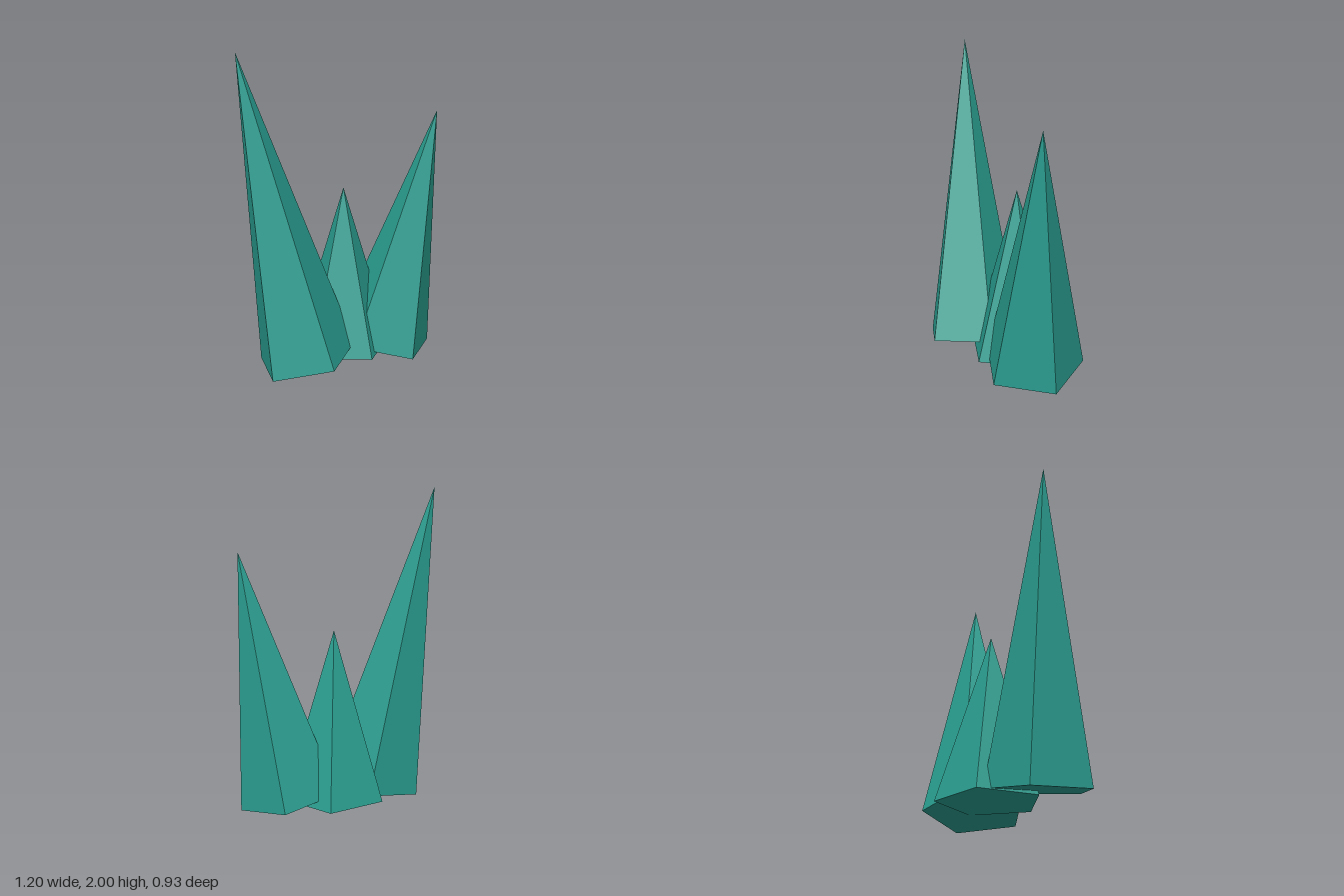
import * as THREE from 'three';

const RADIUS = 0.327;

// Five-sided spike with its pivot at the base centre and one corner facing back
function makeSpike(name, height, [x, y, z], tilt, material) {
  const geometry = new THREE.ConeGeometry(RADIUS, height, 5, 1, false, Math.PI)
    .translate(0, height / 2, 0)
    .toNonIndexed();
  geometry.computeVertexNormals(); // one normal per facet
  const spike = new THREE.Mesh(geometry, material);
  spike.name = name;
  spike.position.set(x, y, z);
  spike.rotation.z = tilt;
  return spike;
}

export function createModel() {
  const teal = new THREE.MeshStandardMaterial({ color: 0x2a9d8f });
  teal.name = 'teal';
  teal.flatShading = true;

  const group = new THREE.Group();
  group.name = 'crystalCluster';
  group.add(
    // Tall spike leaning right, short upright spike, medium spike leaning left
    makeSpike('tallSpike', 1.97, [-0.209, 0.069, 0.2], 0.2, teal),
    makeSpike('middleSpike', 1.07, [0.018, 0.052, -0.07], 0, teal),
    makeSpike('mediumSpike', 1.577, [0.286, 0.063, -0.137], -0.2, teal),
  );
  return group;
}
